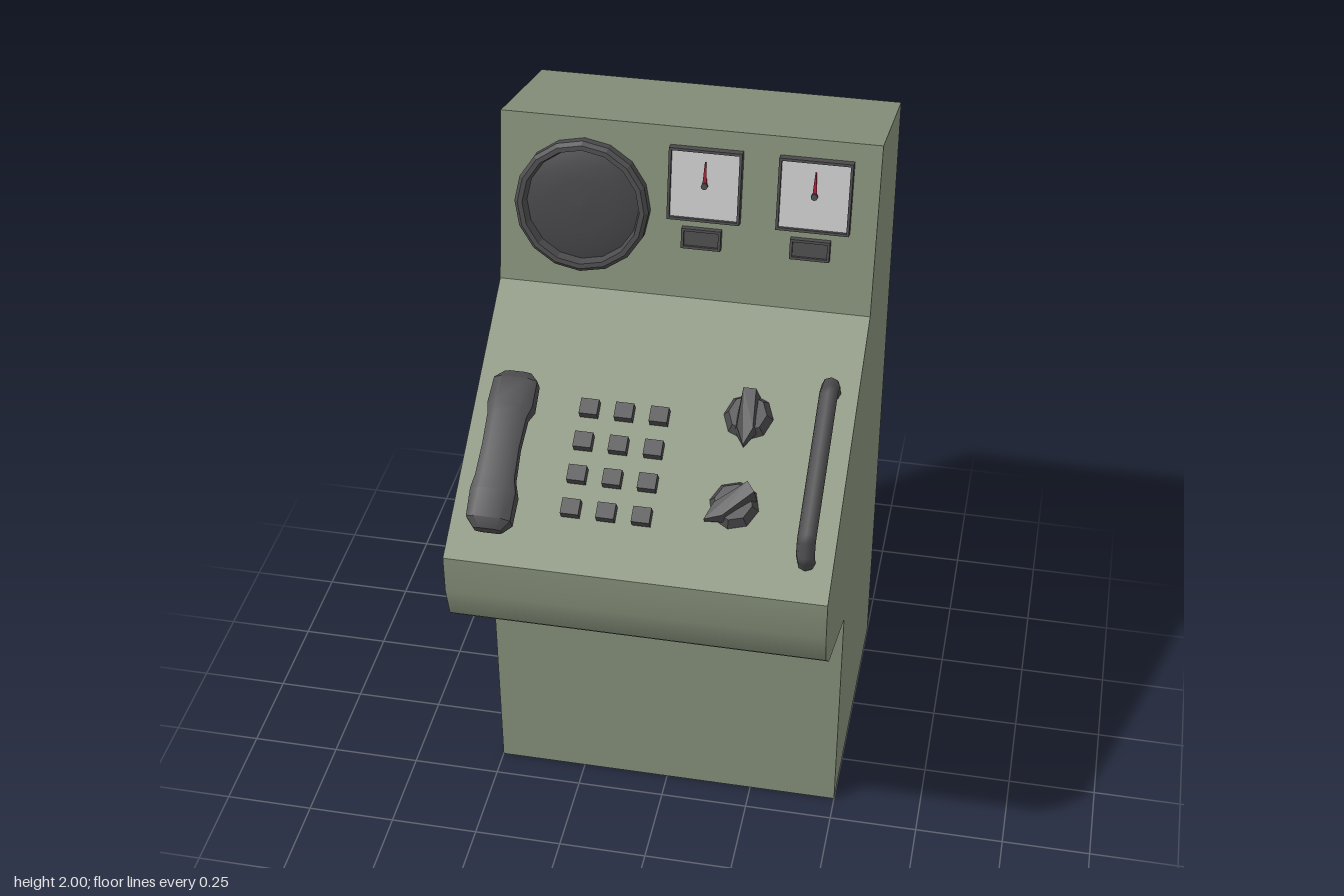
import * as THREE from 'three';
import { toCreasedNormals } from 'three/addons/utils/BufferGeometryUtils.js';

const mat = (color, extra = {}) => {
  const m = new THREE.MeshStandardMaterial({ color });
  return Object.assign(m, extra);
};

function add(parent, name, geometry, material, x = 0, y = 0, z = 0) {
  const m = new THREE.Mesh(geometry, material);
  m.name = name;
  m.position.set(x, y, z);
  parent.add(m);
  return m;
}

function group(parent, name, x = 0, y = 0, z = 0) {
  const g = new THREE.Group();
  g.name = name;
  g.position.set(x, y, z);
  parent.add(g);
  return g;
}

const shape = (pts) => new THREE.Shape(pts.map(([x, y]) => new THREE.Vector2(x, y)));

function extrude(s, depth) {
  return new THREE.ExtrudeGeometry(s, { depth, bevelEnabled: false });
}

// Rectangular frame with a rectangular opening
function frameGeometry(w, h, rim, depth) {
  const rect = (a, b) => [[-a, -b], [a, -b], [a, b], [-a, b]];
  const s = shape(rect(w / 2, h / 2));
  s.holes.push(shape(rect(w / 2 - rim, h / 2 - rim)));
  return extrude(s, depth);
}

// Lathe turned so that its axis points out of the panel (+z)
function turned(pts, sides) {
  const g = new THREE.LatheGeometry(pts.map(([r, h]) => new THREE.Vector2(r, h)), sides);
  return g.rotateX(Math.PI / 2);
}

// Handset: eight-sided rings whose half width, underside and top vary along its length
function handsetGeometry() {
  const rings = [ // along, half width, underside, top
    [0, 0.036, 0.015, 0.05], [0.025, 0.058, 0, 0.07], [0.1, 0.06, 0, 0.08], [0.135, 0.052, 0.03, 0.083],
    [0.22, 0.049, 0.036, 0.085], [0.305, 0.052, 0.03, 0.083], [0.34, 0.06, 0, 0.08], [0.415, 0.058, 0, 0.07],
    [0.44, 0.036, 0.015, 0.05]];
  const n = rings.length - 1;
  const g = new THREE.CylinderGeometry(1, 1, n, 8, n);
  g.rotateY(Math.PI / 8);
  const p = g.attributes.position;
  const corner = (c) => (Math.abs(c) < 0.1 ? 0 : Math.sign(c) * (Math.abs(c) > 0.5 ? 1 : 0.6));
  for (let i = 0; i < p.count; i++) {
    const [v, w, lo, hi] = rings[Math.round(p.getY(i) + n / 2)];
    p.setXYZ(i, corner(p.getX(i)) * w, v, (lo + hi) / 2 + corner(p.getZ(i)) * (hi - lo) / 2);
  }
  return toCreasedNormals(g, 0.6);
}

// Pointer grip of a knob: arrow outline, sloping down to its tip
function pointerGeometry() {
  const g = extrude(shape([[-0.024, 0.055], [-0.03, -0.045], [0, -0.088], [0.03, -0.045], [0.024, 0.055]].reverse()), 1);
  const p = g.attributes.position;
  for (let i = 0; i < p.count; i++) {
    const t = (p.getY(i) + 0.088) / 0.143;
    const top = p.getZ(i) > 0.5;
    if (top) p.setX(i, p.getX(i) * 0.7);
    p.setZ(i, top ? 0.026 + 0.04 * Math.min(1, t * 1.3) : 0.008);
  }
  g.computeVertexNormals();
  return g;
}

export function createModel() {
  const root = new THREE.Group();
  root.name = 'controlConsole';
  const green = mat(0x87917b);
  const dark = mat(0x4c4c4e);
  const darkFlat = mat(0x4c4c4e, { flatShading: true });
  const glass = mat(0x454547, { side: THREE.DoubleSide });
  const white = mat(0xd8d6d9);
  const red = mat(0xa02035);

  // Cabinet: side profile (z, y) extruded across the width
  const profile = [[-0.6, 0], [0.17, 0], [0.17, 0.695], [0.51, 0.84], [0.58, 0.905], [0.605, 1.0],
    [0.605, 1.11], [-0.07, 1.54], [-0.16, 2.0], [-0.6, 1.89]];
  const body = extrude(shape(profile), 1).rotateY(-Math.PI / 2).translate(0.5, 0, 0);
  add(root, 'cabinet', toCreasedNormals(body, 0.6), green);

  // Sloping desk; local y runs up the slope, local z points out of it
  const desk = group(root, 'deskControls', 0, 1.11, 0.605);
  desk.rotation.x = -Math.atan2(0.675, 0.43);

  add(desk, 'handset', handsetGeometry(), dark, -0.39, 0.078, 0);

  const keypad = group(desk, 'keypad');
  for (let r = 0; r < 4; r++) {
    for (let c = 0; c < 3; c++) {
      add(keypad, 'key', new THREE.BoxGeometry(0.048, 0.043, 0.03), dark, -0.19 + c * 0.093, 0.172 + r * 0.093, 0.014);
    }
  }

  for (const [v, turn] of [[0.482, 0], [0.236, -0.9]]) {
    const knob = group(desk, 'knob', 0.225, v, 0);
    knob.rotation.z = turn;
    const base = new THREE.CylinderGeometry(0.05, 0.066, 0.028, 8).rotateX(Math.PI / 2);
    add(knob, 'knobBase', base, darkFlat, 0, 0, 0.013);
    add(knob, 'knobPointer', pointerGeometry(), darkFlat);
  }

  // Grab handle
  const path = new THREE.CurvePath();
  const pts = [[0.108, -0.01], [0.108, 0.05], [0.14, 0.08], [0.54, 0.08], [0.575, 0.05], [0.575, -0.01]]
    .map(([v, n]) => new THREE.Vector3(0.43, v, n));
  for (let i = 1; i < pts.length; i++) path.add(new THREE.LineCurve3(pts[i - 1], pts[i]));
  add(desk, 'grabHandle', new THREE.TubeGeometry(path, 60, 0.024, 8), dark);

  // Upright instrument panel
  const panel = group(root, 'instrumentPanel', 0, 1.54, -0.07);
  panel.rotation.x = -Math.atan2(0.09, 0.46);

  // Round screen: faceted rim and domed glass
  const screen = group(panel, 'roundScreen', -0.275, 0.235, 0);
  const rim = turned([[0.18, 0], [0.18, 0.028], [0.17, 0.038], [0.157, 0.038], [0.15, 0.01]], 16);
  darkFlat.side = THREE.DoubleSide;
  add(screen, 'screenRim', rim, darkFlat);
  add(screen, 'screenGlass', turned([[0.153, 0.01], [0.12, 0.02], [0.07, 0.027], [0, 0.03]], 16), glass);

  // Two needle meters, each with a small label holder below
  for (const x of [0.048, 0.335]) {
    const meter = group(panel, 'meter', x, 0.322, 0);
    add(meter, 'meterFrame', frameGeometry(0.192, 0.195, 0.007, 0.026), dark);
    add(meter, 'meterFace', new THREE.BoxGeometry(0.18, 0.183, 0.016), white, 0, 0, 0.008);
    const needle = shape([[-0.006, 0], [0.006, 0], [0.0015, 0.065], [-0.0015, 0.065]]);
    add(meter, 'needle', extrude(needle, 0.003), red, 0, 0, 0.017);
    add(meter, 'needlePivot', new THREE.CylinderGeometry(0.009, 0.009, 0.012, 8).rotateX(Math.PI / 2), dark, 0, 0, 0.02);

    const label = group(panel, 'labelHolder', x - 0.004, 0.173, 0);
    add(label, 'labelFrame', frameGeometry(0.105, 0.055, 0.007, 0.02), dark);
    add(label, 'labelPlate', new THREE.BoxGeometry(0.093, 0.043, 0.012), dark, 0, 0, 0.006);
  }
  return root;
}
